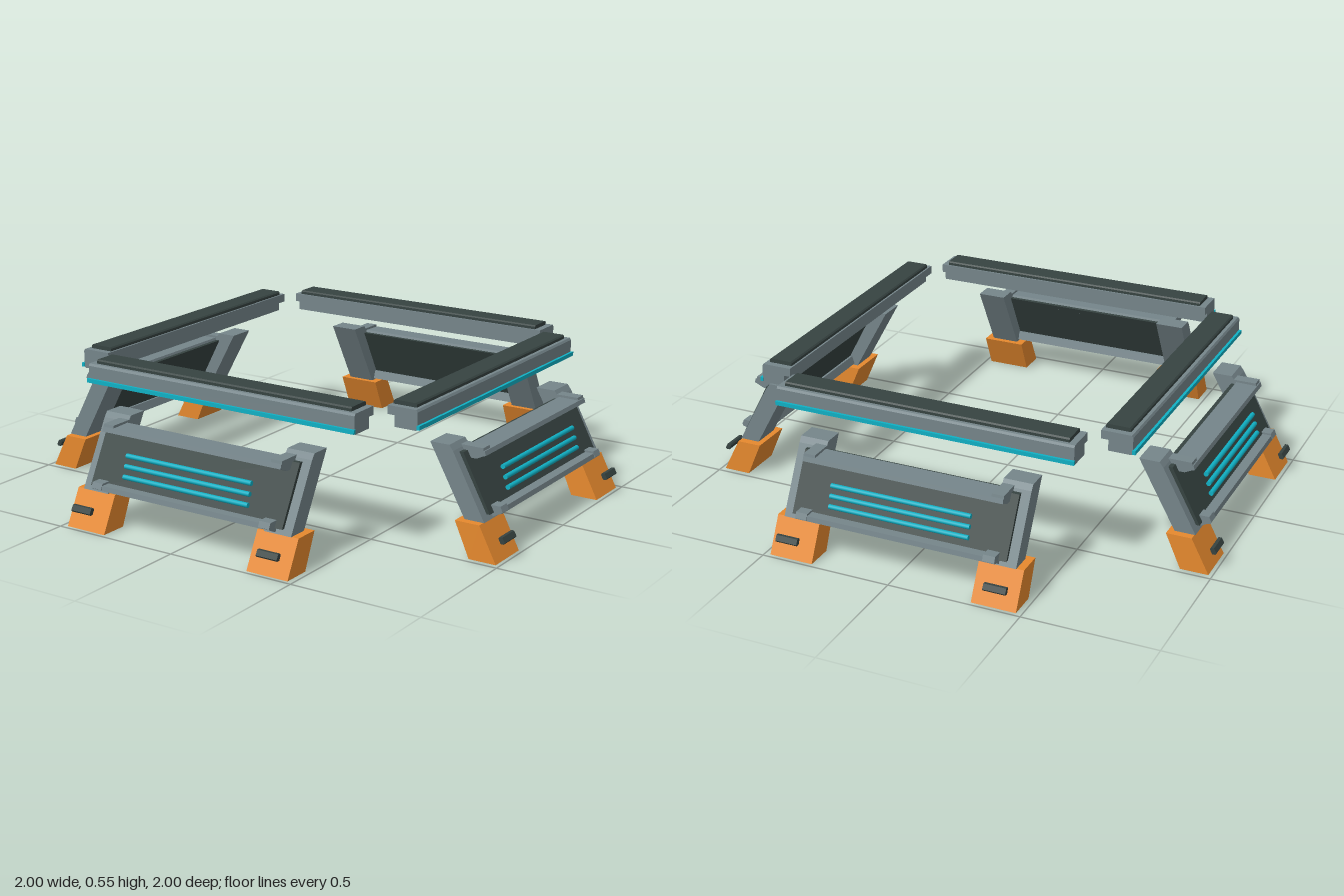
import * as THREE from 'three';

const mat = (name, color) => {
  const m = new THREE.MeshStandardMaterial({ color });
  m.name = name;
  return m;
};

export function createModel() {
  const grey = mat('steelGrey', 0x75858a);
  const dark = mat('darkRubber', 0x364341);
  const orange = mat('safetyOrange', 0xe6892e);
  const cyan = mat('cyanLight', 0x10b0c4);

  // Extrude a cross-section of [distance outward, height] points from x0 to x1
  const bar = (parent, name, material, points, x0, x1) => {
    const shape = new THREE.Shape(points.map(([r, y]) => new THREE.Vector2(r, y)));
    const geo = new THREE.ExtrudeGeometry(shape, { depth: x1 - x0, bevelEnabled: false });
    geo.translate(0, 0, (x0 - x1) / 2);
    geo.rotateY(-Math.PI / 2);
    geo.translate((x0 + x1) / 2, 0, 0);
    const mesh = new THREE.Mesh(geo, material);
    mesh.name = name;
    parent.add(mesh);
  };

  const buildSide = () => {
    const side = new THREE.Group();

    // Stepped top beam with rubber pad and light strip
    bar(side, 'topBeam', grey, [[0.637, 0.457], [0.722, 0.457], [0.727, 0.462], [0.727, 0.522],
      [0.722, 0.53], [0.61, 0.53], [0.61, 0.498], [0.637, 0.498]], -0.575, 0.575);
    bar(side, 'beamPad', dark, [[0.617, 0.53], [0.709, 0.53], [0.709, 0.54], [0.704, 0.545],
      [0.622, 0.545], [0.617, 0.54]], -0.55, 0.55);
    bar(side, 'beamLight', cyan, [[0.725, 0.461], [0.737, 0.461], [0.737, 0.476], [0.725, 0.476]], -0.578, 0.578);

    // Leaning legs, feet and foot clips
    for (const s of [-1, 1]) {
      const span = (a, b) => (s > 0 ? [a, b] : [-b, -a]);
      bar(side, 'leg', grey, [[0.845, 0.13], [0.922, 0.13], [0.795, 0.365], [0.78, 0.385], [0.705, 0.385]], ...span(0.34, 0.45));
      bar(side, 'foot', orange, [[0.88, 0], [0.985, 0], [0.918, 0.13], [0.823, 0.13]], ...span(0.31, 0.478));
      bar(side, 'footClip', dark, [[0.984, 0.066], [0.996, 0.066], [1, 0.072], [0.99, 0.09],
        [0.979, 0.09], [0.975, 0.084]], ...span(0.36, 0.445));
      bar(side, 'upperRailEnd', grey, [[0.79, 0.33], [0.85, 0.33], [0.882, 0.345], [0.876, 0.372], [0.785, 0.372]], ...span(0.34, 0.385));
      bar(side, 'lowerRailEnd', grey, [[0.86, 0.132], [0.915, 0.132], [0.957, 0.155], [0.948, 0.175], [0.865, 0.175]], ...span(0.34, 0.385));
    }

    // Sloping panel between the rails
    bar(side, 'panel', dark, [[0.888, 0.15], [0.924, 0.15], [0.816, 0.355], [0.78, 0.355]], -0.415, 0.415);
    bar(side, 'upperRail', grey, [[0.79, 0.336], [0.84, 0.332], [0.887, 0.346], [0.882, 0.362], [0.8, 0.364]], -0.385, 0.385);
    bar(side, 'lowerRail', grey, [[0.86, 0.136], [0.91, 0.136], [0.954, 0.15], [0.95, 0.168], [0.87, 0.168]], -0.385, 0.385);

    // Three light tubes
    for (let i = 0; i < 3; i++) {
      const tube = new THREE.Mesh(new THREE.CylinderGeometry(0.009, 0.009, 0.54, 10), cyan);
      tube.name = 'lightTube';
      tube.rotation.z = Math.PI / 2;
      tube.position.set(0, 0.205 + i * 0.036, 0.914 - i * 0.011);
      side.add(tube);
    }
    return side;
  };

  const model = new THREE.Group();
  model.name = 'barrierRing';
  ['frontSide', 'leftSide', 'backSide', 'rightSide'].forEach((name, i) => {
    const side = buildSide();
    side.name = name;
    side.rotation.y = (i * Math.PI) / 2;
    model.add(side);
  });
  return model;
}
